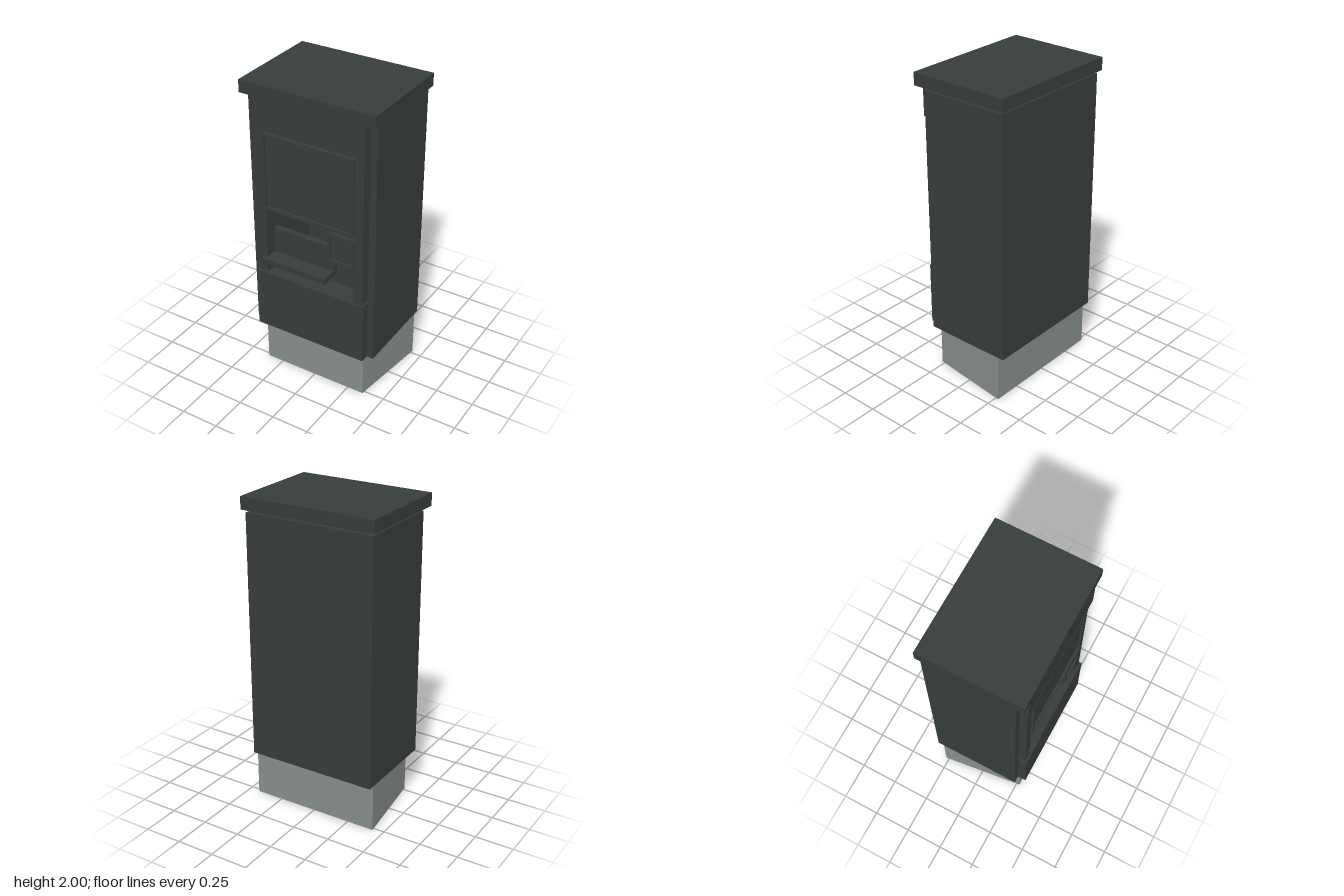
import * as THREE from 'three';

export function createModel() {
  const model = new THREE.Group();
  const casing = new THREE.MeshStandardMaterial({ color: 0x373d3c });
  casing.name = 'anthracite casing';
  const stone = new THREE.MeshStandardMaterial({ color: 0x868e8b });
  stone.name = 'grey plinth';

  // Box given by its limits on each axis
  function box(name, [x0, x1], [y0, y1], [z0, z1], parent = model) {
    const mesh = new THREE.Mesh(new THREE.BoxGeometry(x1 - x0, y1 - y0, z1 - z0), casing);
    mesh.position.set((x0 + x1) / 2, (y0 + y1) / 2, (z0 + z1) / 2);
    mesh.name = name;
    parent.add(mesh);
    return mesh;
  }

  // Rectangular frame with a recessed face plate
  function framedPanel(name, [x0, x1], [y0, y1], [z0, z1], border, recess) {
    const group = new THREE.Group();
    group.name = name;
    const rect = (target, d) => target.moveTo(x0 + d, y0 + d)
      .lineTo(x1 - d, y0 + d).lineTo(x1 - d, y1 - d).lineTo(x0 + d, y1 - d).closePath();
    const shape = new THREE.Shape();
    rect(shape, 0);
    const hole = new THREE.Path();
    rect(hole, border);
    shape.holes.push(hole);
    const frame = new THREE.Mesh(
      new THREE.ExtrudeGeometry(shape, { depth: z1 - z0, bevelEnabled: false }), casing);
    frame.position.z = z0;
    frame.name = name + 'Frame';
    group.add(frame);
    box(name + 'Face', [x0 + border, x1 - border], [y0 + border, y1 - border], [z0, z1 - recess], group);
    model.add(group);
  }

  // Plinth, narrower at the front than at the back
  const plan = new THREE.Shape([[-0.36, -0.27], [0.36, -0.27], [0.43, 0.27], [-0.43, 0.27]]
    .map(([x, y]) => new THREE.Vector2(x, y)));
  const plinth = new THREE.Mesh(
    new THREE.ExtrudeGeometry(plan, { depth: 0.31, bevelEnabled: false }).rotateX(-Math.PI / 2), stone);
  plinth.name = 'plinth';
  model.add(plinth);

  // Hollow cabinet, open at the front
  box('cabinetBack', [-0.385, 0.385], [0.31, 1.9], [-0.31, -0.27]);
  box('cabinetFloor', [-0.385, 0.385], [0.31, 0.34], [-0.27, 0.24]);
  box('cabinetCeiling', [-0.385, 0.385], [1.87, 1.9], [-0.27, 0.24]);
  for (const [side, s] of [['left', 1], ['right', -1]]) {
    const wall = box(side + 'Wall', [-0.0225, 0.0225], [0.31, 1.9], [-0.31, 0.27]);
    wall.position.x = s * 0.4075;
    const post = box(side + 'Post', [-0.03, 0.03], [0.72, 1.715], [0.24, 0.31]);
    post.position.x = s * 0.34;
  }

  // Roof slab and front panels
  box('roof', [-0.45, 0.45], [1.92, 2], [-0.33, 0.33]);
  box('lowerFrontPanel', [-0.385, 0.385], [0.31, 0.72], [0.24, 0.325]);
  box('upperFrontPanel', [-0.385, 0.385], [1.715, 1.92], [0.24, 0.325]);
  box('screenBacking', [-0.31, 0.31], [1.19, 1.715], [0.24, 0.3]);

  // Screen and keypad
  framedPanel('screen', [-0.315, 0.31], [1.185, 1.695], [0.27, 0.325], 0.019, 0.015);
  framedPanel('keypad', [0.13, 0.31], [0.957, 1.16], [0.26, 0.32], 0.02, 0.015);

  // Serving shelf with its back plate
  box('shelfBackPlate', [-0.31, 0.12], [0.83, 1.0], [0.19, 0.23]);
  box('shelf', [-0.31, 0.12], [0.795, 0.83], [0.19, 0.31]);
  box('shelfLip', [-0.335, 0.12], [0.795, 0.83], [0.31, 0.335]);

  return model;
}
